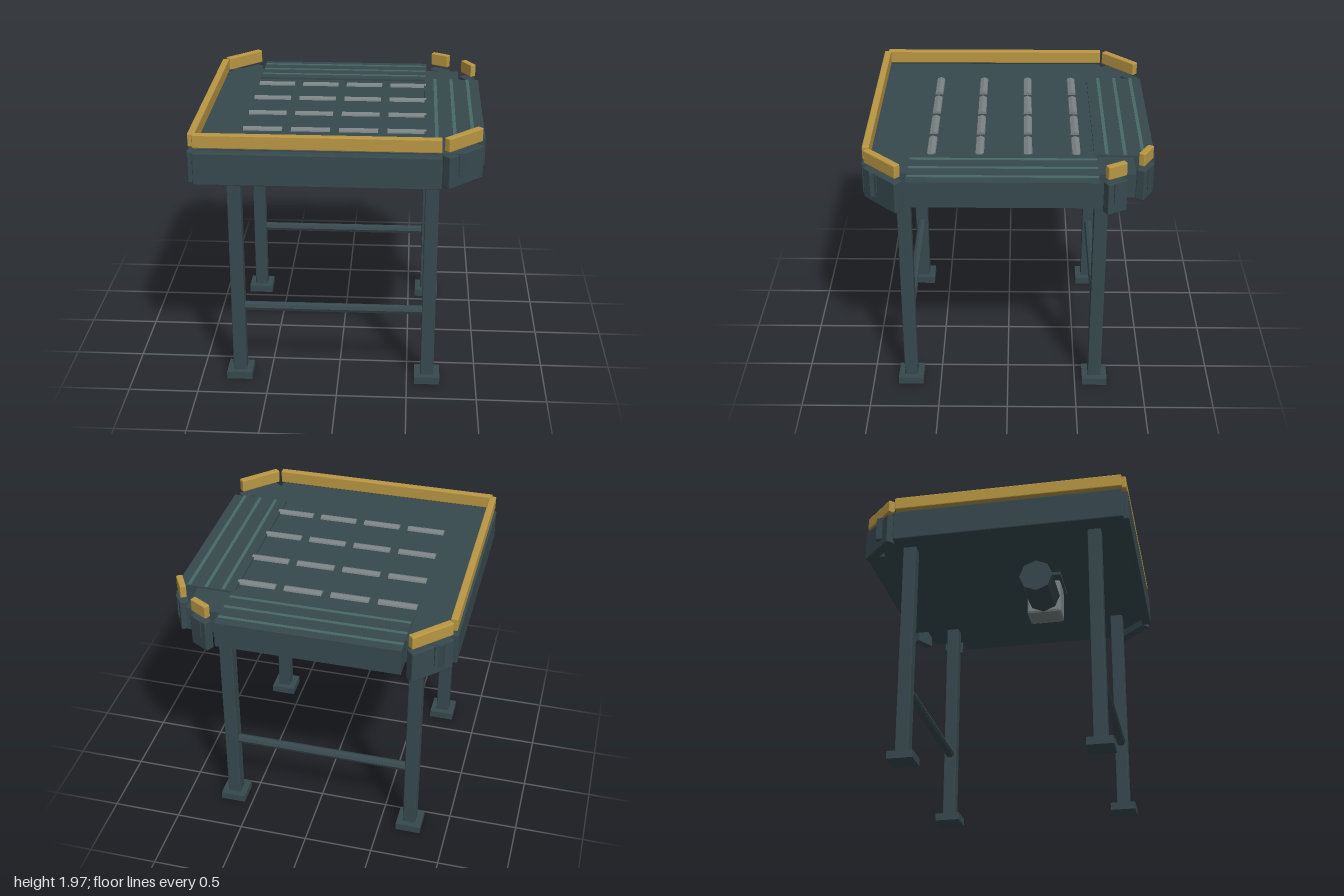
import * as THREE from 'three';
import { RoundedBoxGeometry } from 'three/addons/geometries/RoundedBoxGeometry.js';

const mat = (name, color) => {
  const m = new THREE.MeshStandardMaterial({ color });
  m.name = name;
  return m;
};

export function createModel() {
  const model = new THREE.Group();
  model.name = 'transferTable';
  const steel = mat('dark teal steel', 0x37494e);
  const rib = mat('green rib', 0x486a66);
  const yellow = mat('yellow rail', 0xb99743);
  const grey = mat('grey metal', 0x7a8283);

  const add = (name, geo, material, x, y, z, ry = 0) => {
    const m = new THREE.Mesh(geo, material);
    m.name = name;
    m.position.set(x, y, z);
    m.rotation.y = ry;
    model.add(m);
    return m;
  };

  // Box given by its limits
  const span = (name, material, x0, x1, y0, y1, z0, z1) =>
    add(name, new THREE.BoxGeometry(x1 - x0, y1 - y0, z1 - z0), material,
      (x0 + x1) / 2, (y0 + y1) / 2, (z0 + z1) / 2);

  // Box with a single flat chamfer along its edges
  const chamfered = (w, h, d, c) => {
    const g = new RoundedBoxGeometry(w, h, d, 1, c);
    g.computeVertexNormals();
    return g;
  };

  // Faceted bar along x
  const barX = (name, material, r, x0, x1, y, z) => {
    let g = new THREE.CylinderGeometry(r, r, x1 - x0, 8).toNonIndexed();
    g.computeVertexNormals();
    g.rotateZ(Math.PI / 2);
    return add(name, g, material, (x0 + x1) / 2, y, z);
  };

  // Deck
  span('deck', steel, -0.925, 0.85, 1.67, 1.845, -0.857, 0.92);

  // Legs, feet and cross bars
  for (const z of [0.72, -0.645]) {
    for (const x of [-0.72, 0.647]) {
      add('leg', chamfered(0.096, 1.64, 0.096, 0.006), steel, x, 0.86, z);
      span('foot', steel, x - 0.092, x + 0.092, 0, 0.056, z - 0.092, z + 0.092);
    }
    barX('crossBar', steel, 0.034, -0.69, 0.615, 0.563, z);
  }

  // Side wall with a rail above it; an optional strap sits on the outer face
  const strapShape = new THREE.Shape();
  strapShape.moveTo(0.033, 0.17);
  strapShape.lineTo(-0.033, 0.17);
  strapShape.lineTo(-0.033, 0.033);
  strapShape.absarc(0, 0.033, 0.033, Math.PI, Math.PI * 2, false);
  strapShape.closePath();
  const strapGeo = new THREE.ExtrudeGeometry(strapShape,
    { depth: 0.008, bevelEnabled: false, curveSegments: 6 });

  const guard = (name, x, z, length, depth, ry, strapOffset) => {
    add(name + 'Wall', chamfered(length, 0.23, depth, 0.008), steel, x, 1.725, z, ry);
    add(name + 'Rail', chamfered(length - 0.006, 0.096, depth - 0.02, 0.007), yellow, x, 1.917, z, ry);
    if (strapOffset === undefined) return;
    const s = Math.sin(ry), c = Math.cos(ry);
    add(name + 'Strap', strapGeo, steel,
      x + s * depth / 2 + c * strapOffset, 1.67, z + c * depth / 2 - s * strapOffset, ry);
  };
  const deg = Math.PI / 180;
  guard('front', -0.128, 0.955, 1.66, 0.07, 0);
  guard('side', -0.962, 0.122, 1.665, 0.07, -90 * deg);
  guard('frontCorner', 0.845, 0.835, 0.33, 0.07, 45 * deg, -0.05);
  guard('backCorner', -0.837, -0.85, 0.33, 0.07, -135 * deg, 0.04);
  guard('smallCornerBack', 0.715, -0.93, 0.152, 0.065, 150 * deg, 0);
  guard('smallCornerSide', 0.925, -0.718, 0.152, 0.065, 120 * deg, 0);

  // Transfer plates with three ribs each
  span('backTransferPlate', steel, -0.674, 0.603, 1.67, 1.86, -1, -0.59);
  span('sideTransferPlate', steel, 0.585, 0.997, 1.67, 1.859, -0.61, 0.67);
  for (let i = 0; i < 3; i++) {
    const z = -0.922 + i * 0.123, x = 0.668 + i * 0.123;
    span('backPlateRib', rib, -0.67, 0.595, 1.858, 1.864, z - 0.012, z + 0.012);
    span('sidePlateRib', rib, x - 0.012, x + 0.012, 1.857, 1.863, -0.605, 0.665);
  }

  // Rollers, four rows of four
  for (let row = 0; row < 4; row++) {
    for (let col = 0; col < 4; col++) {
      const x = -0.67 + col * 0.333;
      barX('roller', grey, 0.037, x, x + 0.27, 1.83, -0.468 + row * 0.331);
    }
  }

  // Drive hung under the deck
  const driveZ = 0.243;
  span('motorBracket', steel, -0.2, 0.14, 1.645, 1.675, 0.1, 0.387);
  barX('motor', steel, 0.125, -0.47, -0.1, 1.505, driveZ);
  add('gearbox', chamfered(0.195, 0.275, 0.26, 0.02), grey, -0.028, 1.51, driveZ);
  barX('driveShaft', steel, 0.087, 0.05, 0.087, 1.505, driveZ);

  return model;
}
